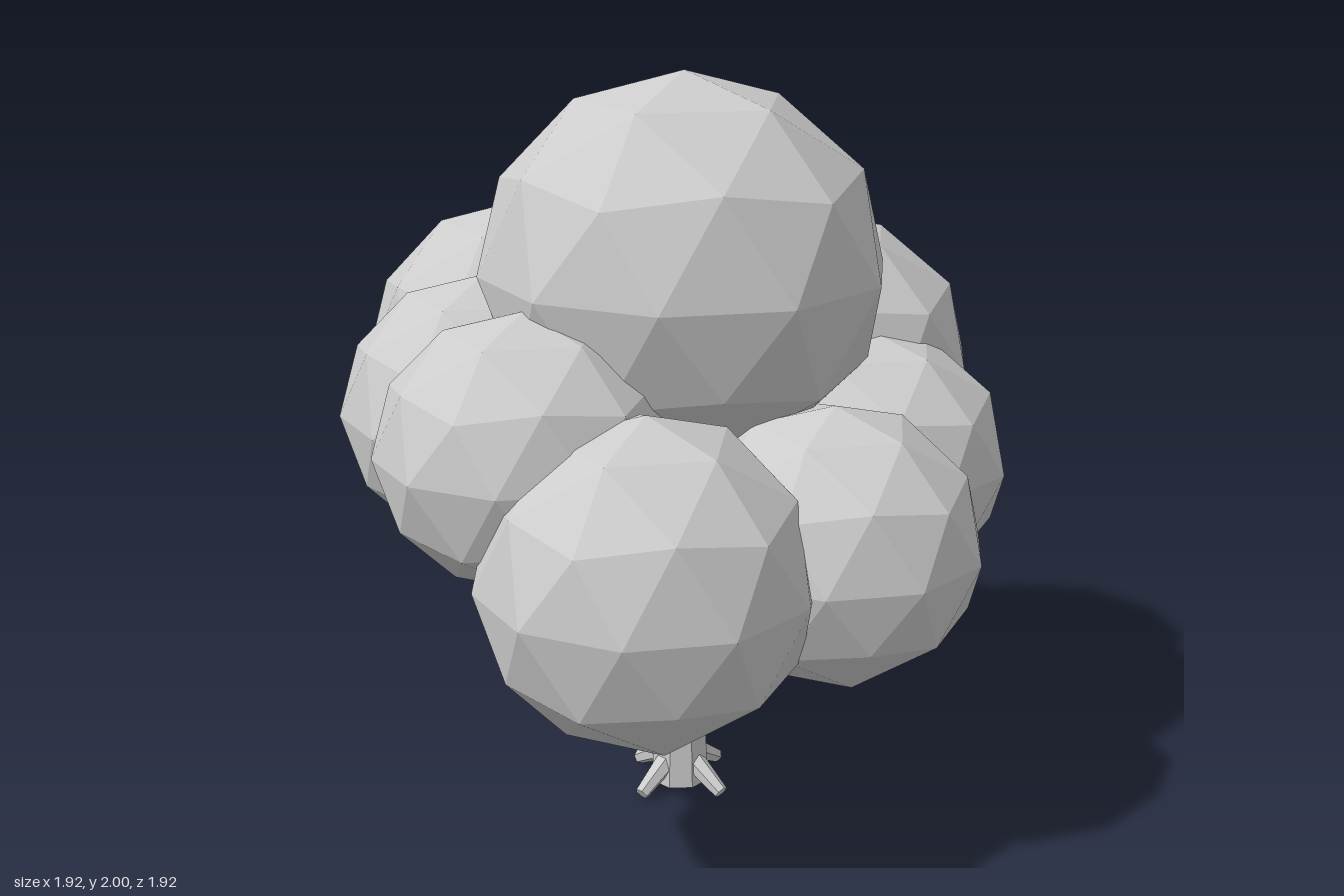
import * as THREE from 'three';

export function createModel() {
  const tree = new THREE.Group();
  tree.name = 'tree';
  const grey = new THREE.MeshStandardMaterial({ color: 0xcccccc, flatShading: true });
  grey.name = 'plain grey';

  function add(geometry, name, parent = tree) {
    geometry.computeVertexNormals();
    const mesh = new THREE.Mesh(geometry, grey);
    mesh.name = name;
    parent.add(mesh);
    return mesh;
  }

  // Tapered limb between two points
  function limb(from, to, r0, r1, sides, name, parent) {
    const a = new THREE.Vector3(...from);
    const dir = new THREE.Vector3(...to).sub(a);
    const len = dir.length();
    const g = new THREE.CylinderGeometry(r1, r0, len, sides);
    g.rotateY(Math.PI / sides);
    g.translate(0, len / 2, 0);
    const mesh = add(g, name, parent);
    mesh.position.copy(a);
    mesh.quaternion.setFromUnitVectors(new THREE.Vector3(0, 1, 0), dir.normalize());
  }

  // Foliage: faceted balls with a corner at each pole
  const ball = new THREE.IcosahedronGeometry(1, 1);
  ball.rotateZ(Math.PI / 2 - Math.atan((1 + Math.sqrt(5)) / 2));
  ball.rotateY(Math.PI);
  const crown = new THREE.Group();
  crown.name = 'crown';
  tree.add(crown);
  // x, y, z, horizontal radius, vertical radius
  const clumps = [
    ['topFoliage', 0.085, 1.49, 0.05, 0.54, 0.51],
    ['frontLeftFoliage', 0.407, 0.847, 0.535, 0.423, 0.418],
    ['frontFoliage', 0.02, 1.1, 0.56, 0.385, 0.355],
    ['frontRightFoliage', -0.325, 1.1, 0.383, 0.39, 0.365],
    ['rightFoliage', -0.53, 1.153, 0.04, 0.455, 0.44],
    ['backRightFoliage', -0.29, 1.13, -0.28, 0.465, 0.425],
    ['backFoliage', 0.067, 1.148, -0.495, 0.467, 0.412],
    ['backLeftFoliage', 0.378, 0.947, -0.335, 0.41, 0.366],
    ['leftFoliage', 0.589, 0.855, 0.045, 0.39, 0.362],
  ];
  for (const [name, x, y, z, r, ry] of clumps) {
    const mesh = add(ball, name, crown);
    mesh.position.set(x, y, z);
    mesh.scale.set(r, ry, r);
  }

  // Trunk
  const cx = 0.078, cz = 0.056;
  limb([cx, 0.02, cz], [cx, 0.63, cz], 0.084, 0.058, 8, 'trunk');

  // Branches from the top of the trunk into the foliage
  const branches = new THREE.Group();
  branches.name = 'branches';
  tree.add(branches);
  for (const [name, x, y, z] of clumps.slice(1)) {
    const start = y < 0.9 ? 0.5 : 0.58;
    limb([cx, start, cz], [x, y, z], 0.028, 0.018, 6, name.replace('Foliage', 'Branch'), branches);
  }
  limb([cx, 0.58, cz], [cx, 1.3, cz], 0.035, 0.025, 6, 'topBranch', branches);

  // Four short roots
  const roots = new THREE.Group();
  roots.name = 'roots';
  tree.add(roots);
  for (let i = 0; i < 4; i++) {
    const a = (i * Math.PI) / 2, c = Math.cos(a), s = Math.sin(a);
    limb([cx + 0.05 * c, 0.088, cz + 0.05 * s], [cx + 0.157 * c, 0.022, cz + 0.157 * s],
      0.032, 0.02, 6, 'root', roots);
  }
  return tree;
}
